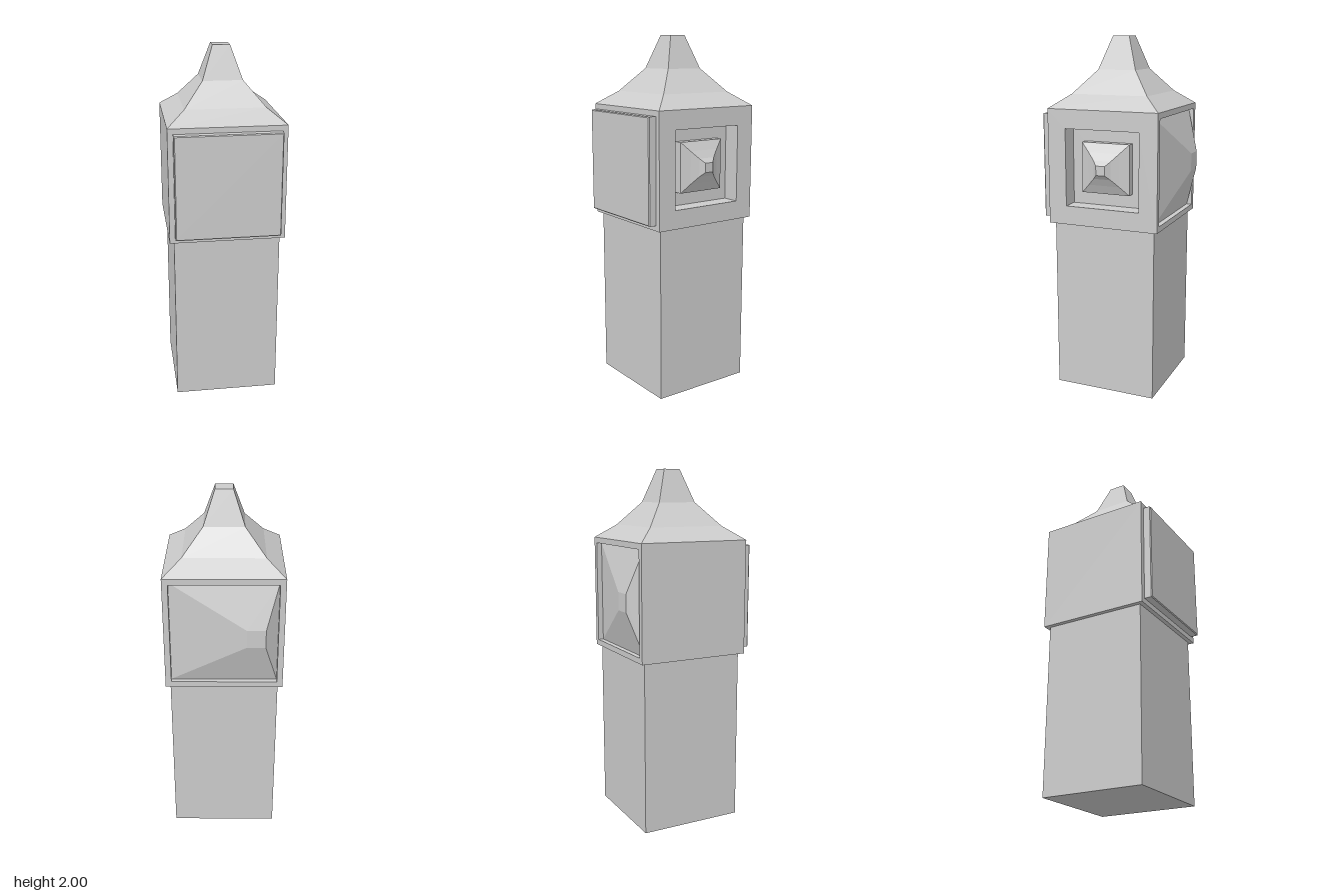
import * as THREE from 'three';

const material = new THREE.MeshStandardMaterial({ color: 0xcccccc, flatShading: true });
const HALF = 0.32;      // half the side of the cubic head
const HEAD_Y = 1.296;   // height of the head's centre

// Stack of square rings [half side, z, centre x], joined in order and capped at the end.
function stepped(name, rings) {
  const pos = [];
  const corners = ([h, z, cx = 0]) => [[cx - h, -h, z], [cx + h, -h, z], [cx + h, h, z], [cx - h, h, z]];
  const quad = (a, b, c, d) => pos.push(...a, ...b, ...c, ...a, ...c, ...d);
  const loops = rings.map(corners);
  for (let r = 0; r < loops.length - 1; r++) {
    for (let i = 0; i < 4; i++) {
      const j = (i + 1) % 4;
      quad(loops[r][i], loops[r][j], loops[r + 1][j], loops[r + 1][i]);
    }
  }
  quad(...loops[loops.length - 1]);
  const geometry = new THREE.BufferGeometry();
  geometry.setAttribute('position', new THREE.Float32BufferAttribute(pos, 3));
  geometry.computeVertexNormals();
  const mesh = new THREE.Mesh(geometry, material);
  mesh.name = name;
  return mesh;
}

export function createModel() {
  const model = new THREE.Group();
  model.name = 'tower';

  // Square shaft
  const shaft = new THREE.Mesh(new THREE.BoxGeometry(0.59, HEAD_Y - HALF, 0.59), material);
  shaft.name = 'shaft';
  shaft.position.y = (HEAD_Y - HALF) / 2;
  model.add(shaft);

  // Head: six faces around a cube, each drawn facing +z and turned into place
  const head = new THREE.Group();
  head.name = 'head';
  head.position.y = HEAD_Y;
  model.add(head);

  // Raised slab on the front
  const front = stepped('frontPanel', [[HALF, HALF], [0.29, HALF], [0.29, 0.36], [0.285, 0.365]]);

  // Recess with a stepped, pointed boss on the left
  const left = stepped('leftRecess', [
    [HALF, HALF], [0.215, HALF], [0.215, 0.22], [0.14, 0.22], [0.14, 0.265],
    [0.09, 0.29], [0.05, 0.314], [0.026, 0.337],
  ]);
  left.rotation.y = Math.PI / 2;

  // Framed, off-centre pyramid on the back
  const back = stepped('backPyramid', [[HALF, HALF], [0.288, HALF], [0.288, 0.29], [0.05, 0.365, 0.17]]);
  back.rotation.y = Math.PI;

  // Plain right side and underside
  const right = stepped('rightFace', [[HALF, HALF]]);
  right.rotation.y = -Math.PI / 2;
  const underside = stepped('underside', [[HALF, HALF]]);
  underside.rotation.x = Math.PI / 2;

  // Concave roof with a flat tip
  const roof = stepped('roof', [[HALF, HALF], [0.22, 0.395], [0.11, 0.523], [0.048, 2 - HEAD_Y]]);
  roof.rotation.x = -Math.PI / 2;

  head.add(front, left, back, right, underside, roof);

  // The whole tower stands slightly turned
  model.rotation.y = 0.125;
  model.position.z = -0.0225;
  const root = new THREE.Group();
  root.add(model);
  return root;
}
